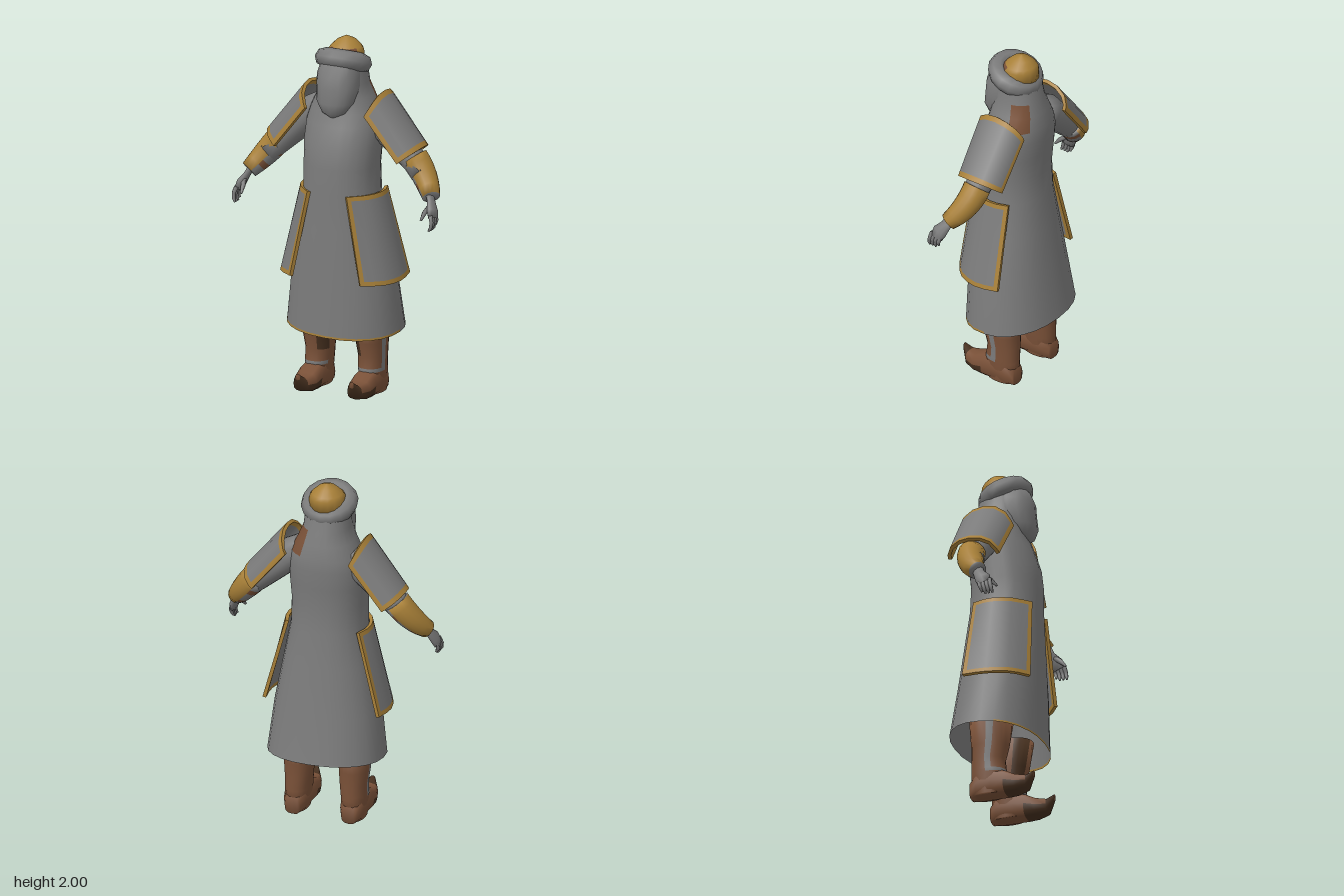
import * as THREE from 'three';
import { toCreasedNormals } from 'three/addons/utils/BufferGeometryUtils.js';

const V = (x, y, z) => new THREE.Vector3(x, y, z);
const material = (name, color, side = THREE.FrontSide) => {
  const m = new THREE.MeshStandardMaterial({ color, side });
  m.name = name;
  return m;
};

// Skin a stack of closed rings; pick(row, column) chooses a material index per cell.
function loft(name, rings, mats, { pick = () => 0, caps = -1, crease = 0, s = 1 } = {}) {
  const n = rings[0].length, buckets = mats.map(() => []);
  const quad = (m, a, b, c, d) => buckets[m].push(...(s > 0 ? [a, b, c, a, c, d] : [a, c, b, a, d, c]));
  for (let i = 0; i < rings.length - 1; i++)
    for (let j = 0; j < n; j++) {
      const k = (j + 1) % n;
      quad(pick(i, j), i * n + j, i * n + k, (i + 1) * n + k, (i + 1) * n + j);
    }
  if (caps >= 0)
    for (let j = 0; j < n / 2 - 1; j++) {
      const e = (rings.length - 1) * n;
      quad(caps, j + 1, j, n - 1 - j, n - 2 - j);
      quad(caps, e + j, e + j + 1, e + n - 2 - j, e + n - 1 - j);
    }
  let geo = new THREE.BufferGeometry();
  geo.setAttribute('position', new THREE.Float32BufferAttribute(rings.flat().flatMap(p => [p.x * s, p.y, p.z]), 3));
  geo.setIndex(buckets.flat());
  let start = 0;
  buckets.forEach((b, m) => { if (b.length) geo.addGroup(start, b.length, m); start += b.length; });
  geo.computeVertexNormals();
  if (crease) geo = toCreasedNormals(geo, crease);
  const mesh = new THREE.Mesh(geo, mats);
  mesh.name = name;
  return mesh;
}

// Horizontal ring: starts at +x and runs towards the back.
function levelRing(n, y, xc, rx, zf, zb, tilt = () => 0, power = 0.9) {
  return Array.from({ length: n }, (_, j) => {
    const t = j / n * Math.PI * 2, c = Math.cos(t), q = -Math.sin(t);
    const f = a => Math.sign(a) * Math.abs(a) ** power;
    return V(xc + rx * f(c), y + tilt(c, q), (zf + zb) / 2 + (zf - zb) / 2 * f(q));
  });
}

// Rings along a path of [x, y, z, radius]; column 0 is the outer, upper side.
function pathRings(rows, n, flat = 1) {
  return rows.map((r, i) => {
    const a = rows[Math.max(i - 1, 0)], b = rows[Math.min(i + 1, rows.length - 1)];
    const dir = V(b[0] - a[0], b[1] - a[1], b[2] - a[2]).normalize();
    const e1 = V(0, 0, 1).cross(dir).normalize(), e2 = dir.clone().cross(e1);
    return Array.from({ length: n }, (_, j) => {
      const t = j / n * Math.PI * 2;
      return V(r[0], r[1], r[2]).addScaledVector(e1, Math.cos(t) * r[3] * flat).addScaledVector(e2, Math.sin(t) * r[3]);
    });
  });
}

// Curved slab between two edge curves, with a rim in the second material.
function plate(name, edgeA, edgeB, mats, s, thick = 0.02, rimV = 0.06) {
  const A = new THREE.CatmullRomCurve3(edgeA), B = new THREE.CatmullRomCurve3(edgeB);
  const us = [0, 0.065, 0.2, 0.35, 0.5, 0.65, 0.8, 0.935, 1], vs = [0, rimV, 0.35, 0.65, 1 - rimV, 1], m = us.length;
  const rings = vs.map(v => {
    const outer = us.map(u => A.getPointAt(u).lerp(B.getPointAt(u), v));
    const inner = us.map((u, i) => {
      const du = A.getTangentAt(u).lerp(B.getTangentAt(u), v);
      const dv = B.getPointAt(u).sub(A.getPointAt(u));
      return outer[i].clone().addScaledVector(du.cross(dv).normalize(), -thick);
    });
    return [...outer, ...inner.reverse()];
  });
  const rim = [0, m - 2, m - 1, m, 2 * m - 2, 2 * m - 1];
  const pick = (i, j) => (i === 0 || i === vs.length - 2 || rim.includes(j) ? 1 : 0);
  return loft(name, rings, mats, { pick, caps: 1, crease: 0.6, s });
}

export function createModel() {
  const cloth = material('grey cloth', 0x7b7b7b, THREE.DoubleSide);
  const gold = material('gold', 0xa88038, THREE.DoubleSide);
  const leather = material('brown leather', 0x7a5138);
  const dark = material('dark leather', 0x46301f);
  const model = new THREE.Group();
  model.name = 'robedFigure';

  // Coat with gold front hem and a leather patch on the left shoulder
  const hem = (c, q) => -0.025 * q - 0.012 * c;
  const N = 24;
  const coatRows = [
    [0.378, 0.33, 0.262, -0.258], [0.39, 0.328, 0.261, -0.255], [0.67, 0.295, 0.255, -0.215],
    [0.95, 0.245, 0.247, -0.18], [1.15, 0.21, 0.24, -0.155], [1.3, 0.208, 0.24, -0.147],
    [1.42, 0.215, 0.225, -0.157], [1.53, 0.213, 0.19, -0.165], [1.6, 0.195, 0.165, -0.16],
    [1.68, 0.158, 0.15, -0.145], [1.75, 0.13, 0.15, -0.125], [1.86, 0.12, 0.14, -0.1]];
  model.add(loft('coat', coatRows.map(([y, ...r], i) => levelRing(N, y, 0, ...r, i < 2 ? hem : undefined)),
    [cloth, gold, leather], {
      pick: (i, j) => (i === 0 && j > N / 2 ? 1 : (i === 8 || i === 9) && j > 0 && j < 4 ? 2 : 0),
    }));

  // Face veil
  const veilRows = [[1.575, 0.02, 0.17, 0.1], [1.605, 0.075, 0.2, 0.05], [1.66, 0.11, 0.215, 0],
    [1.74, 0.122, 0.205, -0.03], [1.81, 0.12, 0.2, -0.04], [1.9, 0.1, 0.16, -0.04]];
  model.add(loft('faceVeil', veilRows.map(([y, ...r]) => levelRing(16, y, 0, ...r)), [cloth], { caps: 0 }));

  // Padded hat brim, raised at the front
  const brim = new THREE.Mesh(new THREE.TorusGeometry(0.104, 0.054, 8, 16).rotateX(Math.PI / 2 - 0.37), cloth);
  brim.name = 'hatBrim';
  brim.position.set(0, 1.868, 0.035);
  model.add(brim);

  // Gold cap with leather at the front edge
  const capRows = [[1.85, 0.105, 0.11, -0.1], [1.925, 0.098, 0.105, -0.097], [1.945, 0.085, 0.085, -0.085],
    [1.978, 0.05, 0.05, -0.055], [2, 0.004, 0, -0.008]];
  model.add(loft('hatCap', capRows.map(([y, ...r]) => levelRing(16, y, 0, ...r, undefined, 1)), [gold, leather],
    { pick: (i, j) => (i < 2 && j > 9 && j < 15 ? 1 : 0), caps: 0 }));

  for (const s of [1, -1]) {
    const side = new THREE.Group();
    side.name = s > 0 ? 'leftSide' : 'rightSide';
    model.add(side);

    // Sleeve
    side.add(loft('sleeve', pathRings([[0.14, 1.6, -0.01, 0.07], [0.21, 1.54, -0.01, 0.092],
      [0.31, 1.44, -0.01, 0.08], [0.42, 1.335, -0.008, 0.07], [0.47, 1.28, 0.02, 0.06]], 14), [cloth], { caps: 0, s }));

    // Forearm guard: gold outside, straps inside
    const guard = [0, 0.18, 0.32, 0.5, 0.65, 0.8, 1].map(t =>
      [0.41 + 0.145 * t, 1.36 - 0.18 * t, -0.012 + 0.085 * t * t, 0.076 - 0.026 * t * t]);
    side.add(loft('forearmGuard', pathRings(guard, 16), [gold, cloth, leather], {
      pick: (i, j) => (j < 5 || j > 10 ? 0 : i === 1 || i === 4 ? 2 : 1), caps: 1, s,
    }));

    // Hand and curled fingers
    side.add(loft('palm', pathRings([[0.545, 1.19, 0.07, 0.032], [0.562, 1.155, 0.085, 0.032],
      [0.582, 1.115, 0.112, 0.044], [0.593, 1.08, 0.125, 0.038]], 10, 0.55), [cloth], { caps: 0, s }));
    for (let f = 0; f < 4; f++) {
      const z = 0.095 + f * 0.02, drop = f === 0 ? 0.012 : 0;
      side.add(loft('finger', pathRings([[0.591, 1.1, z, 0.013], [0.603, 1.065, z + 0.008, 0.012],
        [0.6, 1.035 + drop, z + 0.014, 0.01], [0.59, 1.017 + drop, z + 0.018, 0.006]], 6), [cloth], { caps: 0, s }));
    }
    side.add(loft('thumb', pathRings([[0.565, 1.14, 0.11, 0.014], [0.553, 1.11, 0.15, 0.014],
      [0.548, 1.075, 0.182, 0.007]], 6), [cloth], { caps: 0, s }));

    // Shoulder plate: arch [z, drop from crest, inset of inner edge] swept along the arm
    const arch = [[-0.162, -0.11, 0.06], [-0.152, -0.06, 0.035], [-0.09, -0.015, 0.01], [-0.02, 0, 0],
      [0.055, -0.008, 0.005], [0.12, -0.05, 0.03], [0.147, -0.115, 0.06]];
    const along = (d, h, z) => V(0.232 + 0.62 * d + 0.78 * h, 1.72 - 0.78 * d + 0.62 * h, z);
    side.add(plate('shoulderPlate', arch.map(([z, h, d]) => along(d, h, z)),
      arch.map(([z, h]) => along(0.375, h, z * 0.95 - 0.005)), [cloth, gold], s, 0.02, 0.08));

    // Hip plate wrapping the side of the coat
    side.add(plate('hipPlate',
      [V(0.215, 1.16, -0.075), V(0.242, 1.16, 0.02), V(0.215, 1.16, 0.13), V(0.12, 1.16, 0.232)],
      [V(0.34, 0.68, -0.095), V(0.357, 0.67, 0.04), V(0.315, 0.67, 0.17), V(0.215, 0.675, 0.255)],
      [cloth, gold], s, 0.02, 0.05));

    // Boot shaft with grey piping and dark worn inner front
    const shaft = [[0.01, 0.165, 0.06, 0.09, -0.1], [0.135, 0.163, 0.071, 0.1, -0.1], [0.155, 0.162, 0.072, 0.096, -0.1],
      [0.22, 0.16, 0.075, 0.088, -0.1], [0.3, 0.16, 0.083, 0.108, -0.1], [0.46, 0.16, 0.092, 0.135, -0.112]];
    side.add(loft('bootShaft', shaft.map(r => levelRing(20, ...r)), [leather, cloth, dark], {
      pick: (i, j) => (i === 1 && j > 10 ? 1 : i > 1 && j === 19 ? 1 : i > 2 && j > 10 && j < 14 ? 2 : 0),
      caps: 0, s,
    }));

    // Foot with upturned toe: [z, bottom, top, half width]
    const foot = [[-0.1, 0.0, 0.1, 0.045], [-0.06, 0, 0.14, 0.065], [0.03, 0, 0.155, 0.069], [0.1, 0, 0.14, 0.07],
      [0.16, 0.004, 0.108, 0.066], [0.22, 0.018, 0.098, 0.045], [0.258, 0.09, 0.125, 0.014]];
    side.add(loft('foot', foot.map(([z, lo, hi, w]) => Array.from({ length: 12 }, (_, j) => {
      const t = j / 12 * Math.PI * 2, f = a => Math.sign(a) * Math.abs(a) ** 0.7;
      return V(0.164 + w * f(Math.cos(t)), (lo + hi) / 2 + (hi - lo) / 2 * f(Math.sin(t)), z);
    })), [leather, dark], { pick: (i, j) => (i > 4 || (i > 2 && j > 5) ? 1 : 0), caps: 0, s }));
  }
  return model;
}
